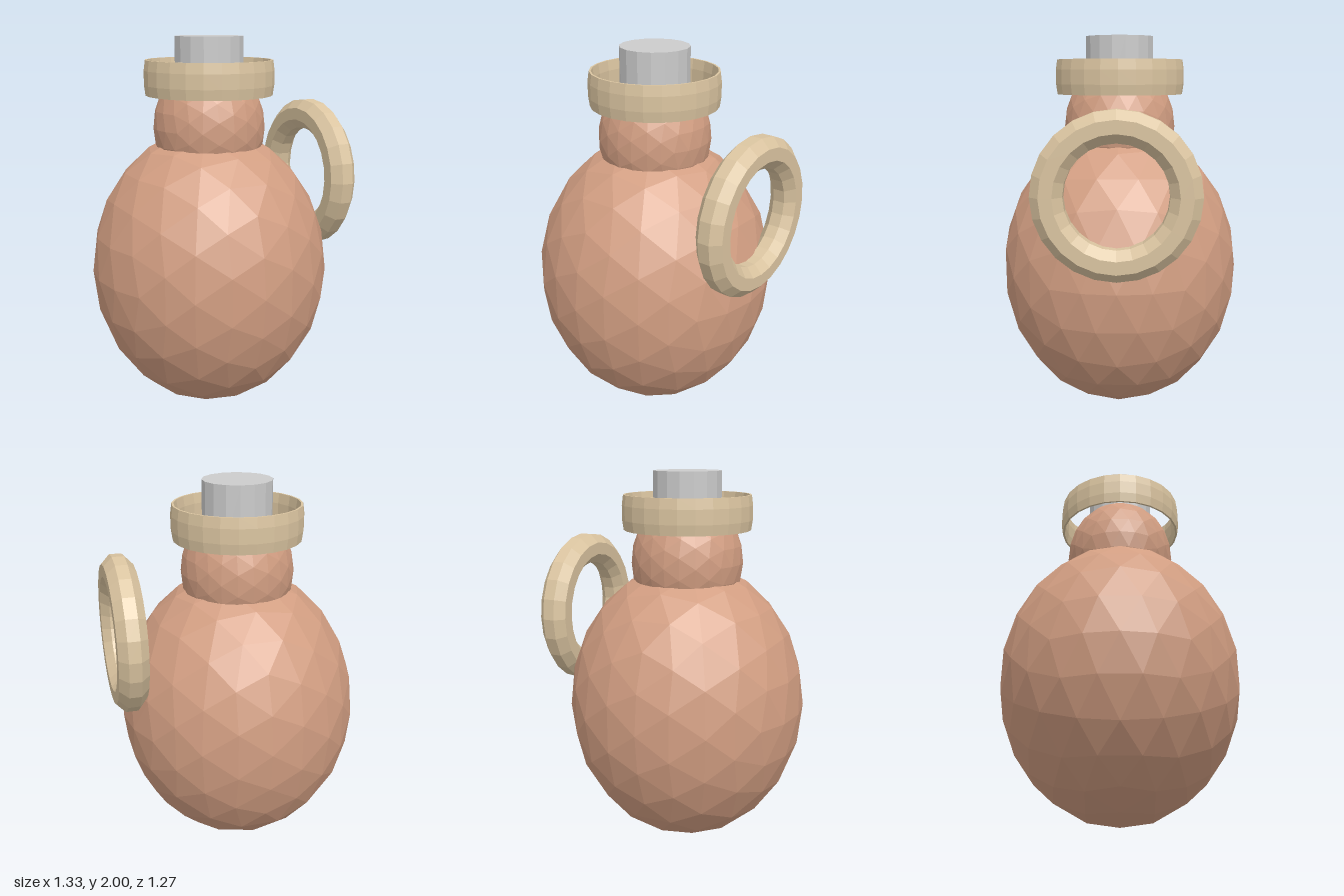
import * as THREE from 'three';

const AXIS_X = -0.03;

const paint = (color) => new THREE.MeshStandardMaterial({ color, flatShading: true });

// Faceted ball: every triangle of a 80-face icosphere is split once more at its edge midpoints
function facetedBall() {
  const src = new THREE.IcosahedronGeometry(1, 1).getAttribute('position');
  const corner = (i) => new THREE.Vector3().fromBufferAttribute(src, i);
  const mid = (a, b) => a.clone().add(b).normalize();
  const points = [];
  for (let i = 0; i < src.count; i += 3) {
    const [a, b, c] = [corner(i), corner(i + 1), corner(i + 2)];
    const [ab, bc, ca] = [mid(a, b), mid(b, c), mid(c, a)];
    points.push(a, ab, ca, ab, b, bc, ca, bc, c, ab, bc, ca);
  }
  const geometry = new THREE.BufferGeometry().setFromPoints(points);
  geometry.computeVertexNormals();
  return geometry;
}

// Ring around y with an octagonal section of the given half thickness and half height
function octagonRing(radius, halfThickness, halfHeight, segments) {
  const k = 1 / Math.cos(Math.PI / 8);
  const profile = [];
  for (let i = 0; i <= 8; i++) {
    const a = ((i + 0.5) * Math.PI) / 4;
    profile.push(new THREE.Vector2(radius + halfThickness * k * Math.cos(a), halfHeight * k * Math.sin(a)));
  }
  // Lathe needs the outer side running upwards
  return new THREE.LatheGeometry(profile, segments);
}

export function createModel() {
  const group = new THREE.Group();
  const clay = paint(0xd29e82);
  const cord = paint(0xdac4a0);
  const add = (name, geometry, material, x, y) => {
    const mesh = new THREE.Mesh(geometry, material);
    mesh.name = name;
    mesh.position.set(x, y, 0);
    group.add(mesh);
    return mesh;
  };

  // Egg-shaped body and the bulging neck sunk into it
  add('body', facetedBall().scale(0.636, 0.76, 0.636), clay, AXIS_X, 0.765);
  add('neck', facetedBall().scale(0.295, 0.34, 0.295), clay, AXIS_X, 1.53);

  // Thin band around the mouth
  add('rimBand', octagonRing(0.328, 0.0125, 0.09, 24), cord, AXIS_X, 1.79);

  // Stopper
  const stopper = new THREE.CylinderGeometry(0.18, 0.18, 0.26, 16).rotateY(Math.PI / 16);
  add('stopper', stopper, paint(0xcccccc), AXIS_X, 1.87);

  // Upright ring handle on the left side
  add('handle', octagonRing(0.33, 0.078, 0.075, 24).rotateZ(Math.PI / 2), cord, 0.587, 1.24);

  return group;
}
